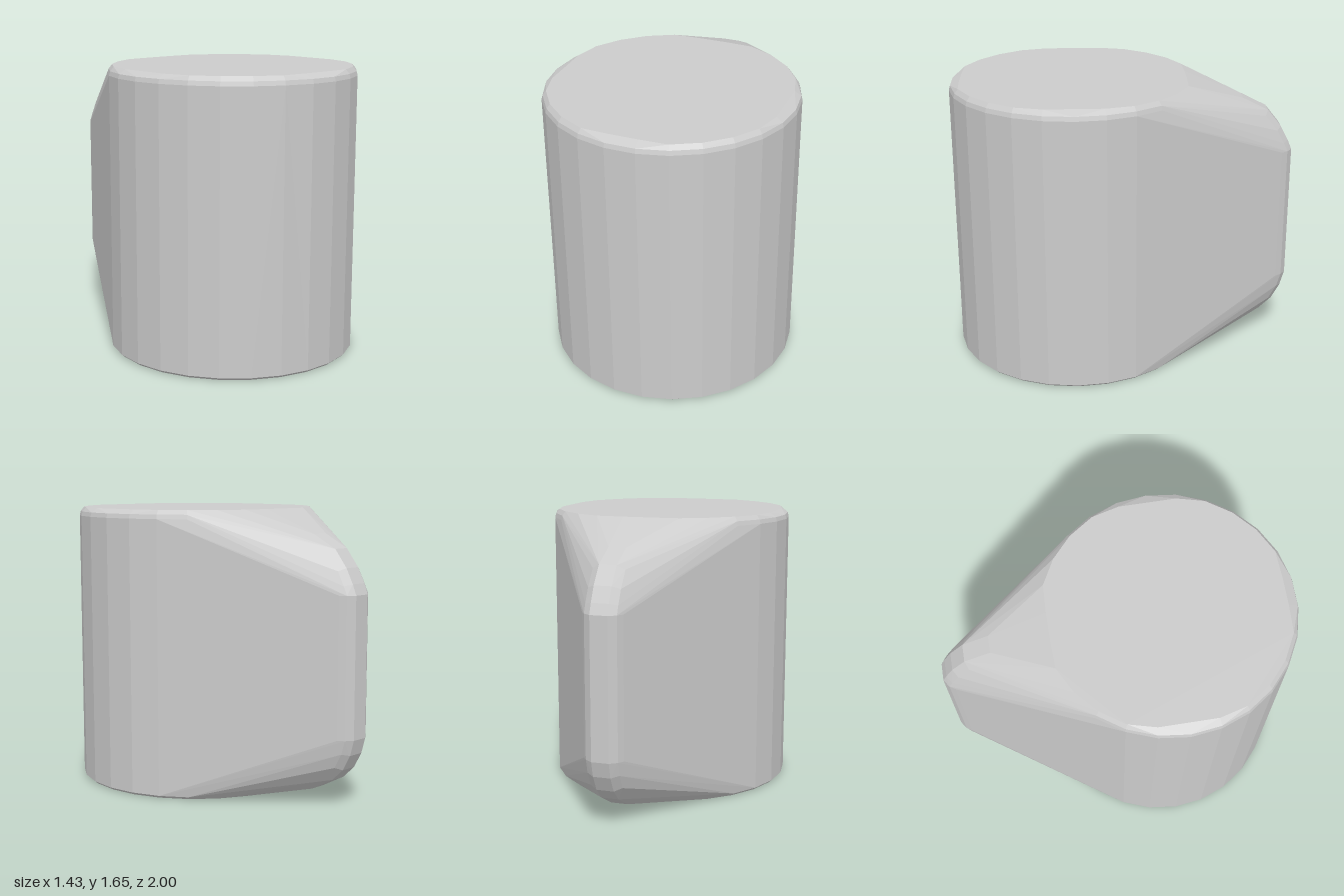
import * as THREE from 'three';
import { ConvexGeometry } from 'three/addons/geometries/ConvexGeometry.js';

const SEGMENTS = 26;
const BODY_Z = 0.285;

// Ring of points around the cup axis; flat limits how far it reaches along x and z
function ring(radius, y, flat = radius) {
  const points = [];
  for (let i = 0; i < SEGMENTS; i++) {
    const a = ((i + 0.5) / SEGMENTS) * Math.PI * 2;
    const x = THREE.MathUtils.clamp(Math.sin(a) * radius, -flat, flat);
    const z = THREE.MathUtils.clamp(Math.cos(a) * radius, -flat, flat);
    points.push(new THREE.Vector3(x, y, BODY_Z + z));
  }
  return points;
}

// Rounded handle section swept along its outline; n is the inward direction
function handle() {
  // z, y, inward z, inward y
  const outline = [
    [-0.70, 1.52, 0.4, -0.92], [-0.85, 1.445, 0.6, -0.8],
    [-0.93, 1.345, 0.85, -0.53], [-0.975, 1.26, 0.94, -0.34],
    [-1.0, 1.2, 1, 0], [-1.0, 0.4, 1, 0],
    [-0.975, 0.31, 0.94, 0.34], [-0.925, 0.22, 0.85, 0.53],
    [-0.85, 0.15, 0.6, 0.8], [-0.70, 0.07, 0.4, 0.92],
  ];
  // half width, depth below the crest
  const section = [[0.05, 0], [0.092, 0.03], [0.115, 0.065], [0.128, 0.105]];
  const points = [];
  for (const [z, y, nz, ny] of outline)
    for (const [w, d] of section)
      for (const side of [-1, 1])
        points.push(new THREE.Vector3(side * w, y + ny * d, z + nz * d));
  return points;
}

export function createModel() {
  const group = new THREE.Group();
  group.name = 'cupHull';

  // One convex shell wraps the round body and the handle bulge
  const points = [
    ...ring(0.7, 0),
    ...ring(0.717, 0.015),
    ...ring(0.717, 1.6),
    ...ring(0.71, 1.625),
    ...ring(0.69, 1.65, 0.652),
    ...handle(),
  ];
  const shell = new THREE.Mesh(
    new ConvexGeometry(points),
    new THREE.MeshStandardMaterial({ color: 0xcccccc, flatShading: true })
  );
  shell.name = 'bodyAndHandleShell';
  group.add(shell);
  return group;
}
